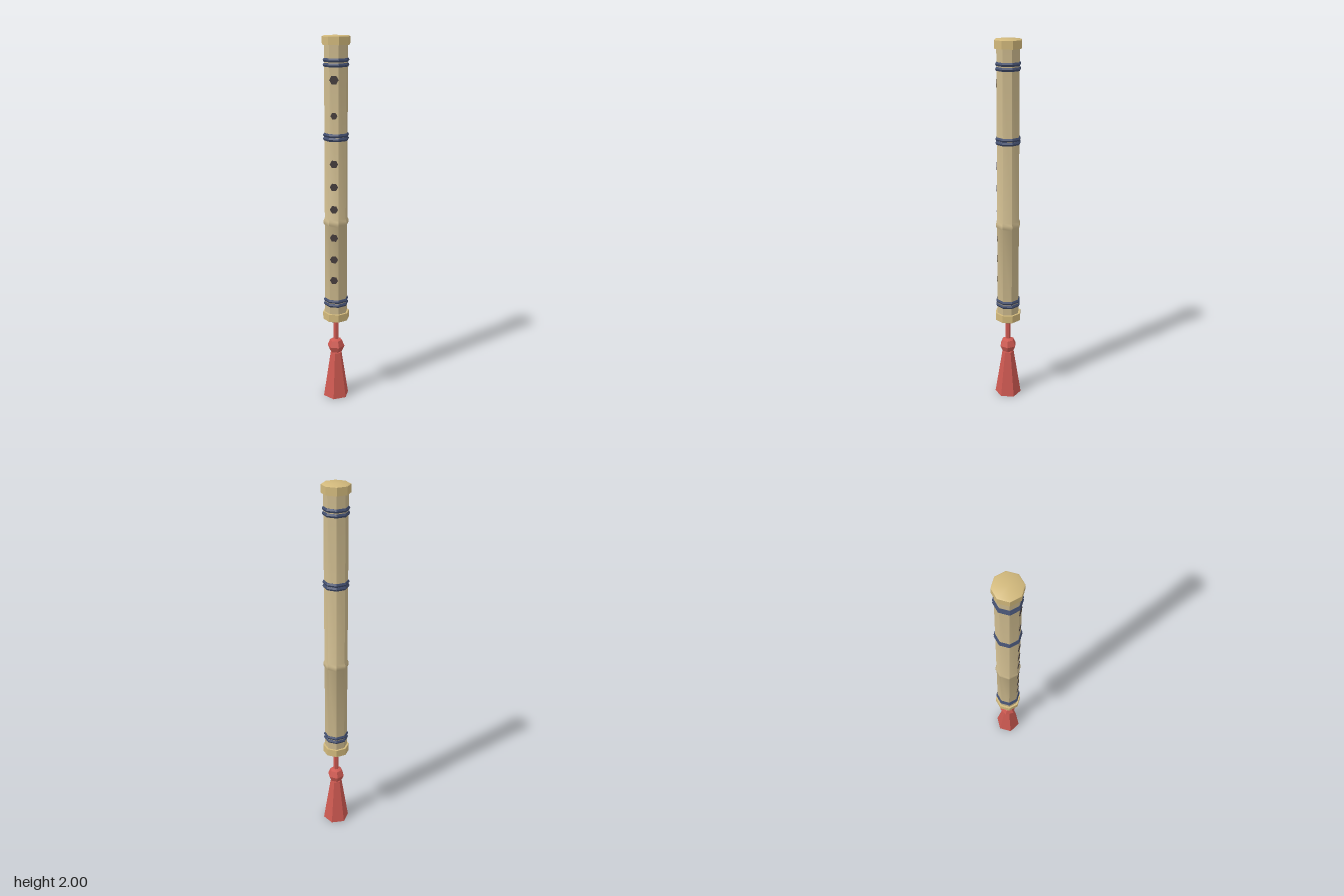
import * as THREE from 'three';
import { toCreasedNormals } from 'three/addons/utils/BufferGeometryUtils.js';

const COLORS = { bamboo: 0xcbb88c, cap: 0xd2b97c, cord: 0x424e6e, hole: 0x443c3c, tassel: 0xcf5a52 };
const CREASE = 0.68;

export function createModel() {
  const model = new THREE.Group();
  const materials = {};
  for (const key in COLORS) {
    materials[key] = new THREE.MeshStandardMaterial({ color: COLORS[key] });
  }

  function add(name, geometry, key, x = 0, y = 0, z = 0) {
    const mesh = new THREE.Mesh(toCreasedNormals(geometry, CREASE), materials[key]);
    mesh.name = name;
    mesh.position.set(x, y, z);
    model.add(mesh);
    return mesh;
  }

  // Eight-sided turned part with flat faces toward the axes
  function octagon(points) {
    const profile = points.map(([r, y]) => new THREE.Vector2(r, y));
    return new THREE.LatheGeometry(profile, 8, Math.PI / 8);
  }

  // Tube with its raised bamboo joint
  const R = 0.0615;
  add('tube', octagon([
    [R, 0.49], [R, 1.015], [0.068, 1.027], [0.068, 1.043], [R, 1.057], [R, 1.98],
  ]), 'bamboo');

  // End caps, softly bevelled on the outer face
  add('topCap', octagon([
    [0, 1.955], [0.0727, 1.955], [0.0727, 1.996], [0.066, 2], [0, 2],
  ]), 'cap');
  add('bottomCap', octagon([
    [0, 0.47], [0.066, 0.47], [0.0727, 0.474], [0.0727, 0.516], [0, 0.516],
  ]), 'cap');

  // Binding cords, wound in pairs
  for (const y of [1.881, 1.857, 1.503, 1.483, 0.59, 0.567]) {
    const ring = new THREE.TorusGeometry(0.058, 0.011, 6, 8);
    ring.rotateZ(Math.PI / 8).rotateX(Math.PI / 2);
    add('bindingCord', ring, 'cord', 0, y, 0);
  }

  // Mouth hole, membrane hole and finger holes along the front
  const holes = [
    [1.785, 0.024], [1.605, 0.018], [1.356, 0.022], [1.234, 0.022],
    [1.113, 0.022], [0.956, 0.022], [0.834, 0.022], [0.715, 0.022],
  ];
  for (const [y, r] of holes) {
    const disc = new THREE.CylinderGeometry(r, r, 0.006, 6);
    disc.rotateY(Math.PI / 2).rotateX(Math.PI / 2);
    add('hole', disc, 'hole', 0, y, 0.056);
  }

  // Hanging cord, knot and tassel
  add('hangingCord', new THREE.CylinderGeometry(0.014, 0.014, 0.15, 6), 'tassel', 0, 0.405, 0);
  add('knot', new THREE.SphereGeometry(0.048, 6, 4), 'tassel', 0, 0.305, 0);
  add('tassel', new THREE.CylinderGeometry(0.032, 0.073, 0.265, 6), 'tassel', 0, 0.1325, 0);

  return model;
}
